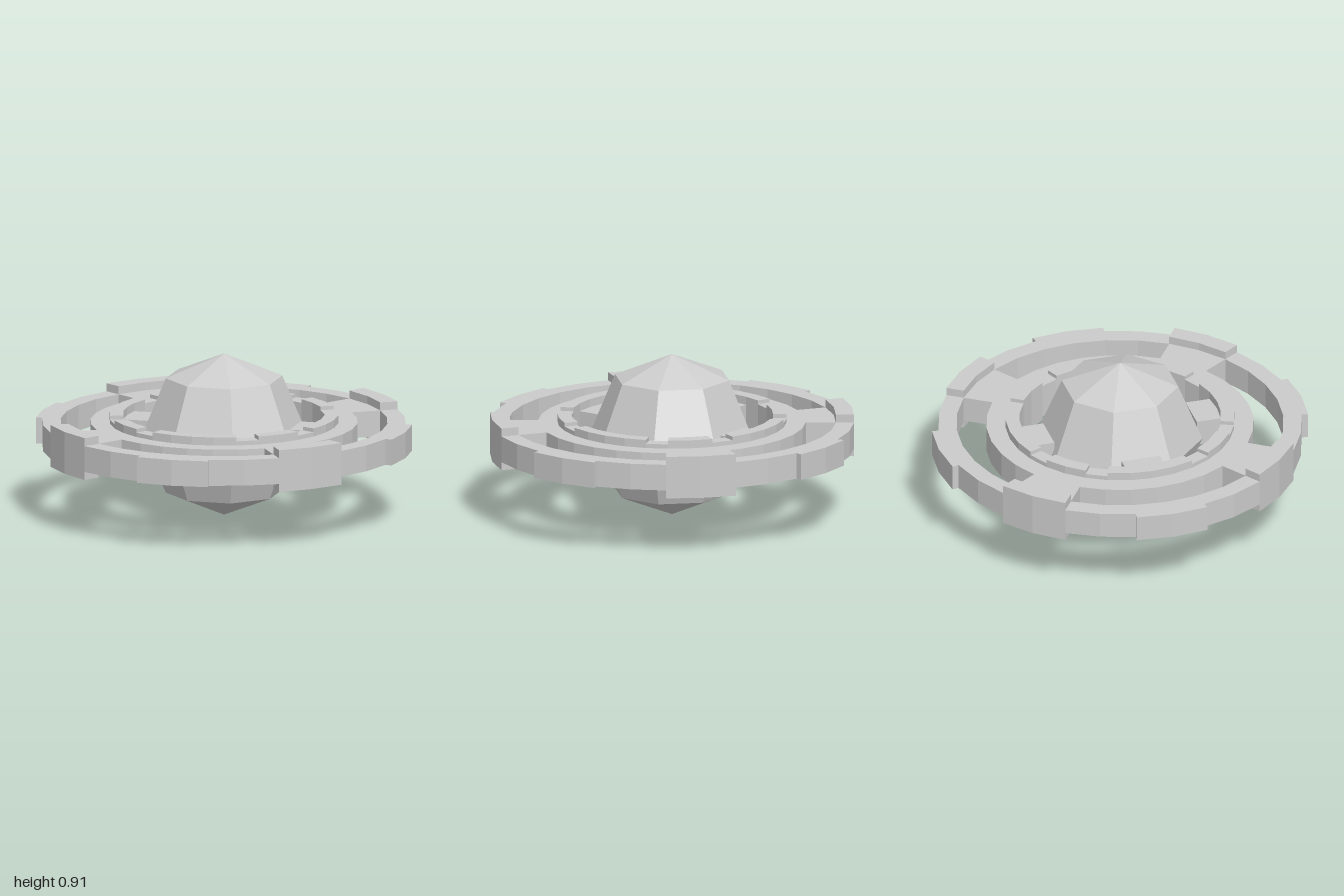
import * as THREE from 'three';

const STEP = Math.PI / 16;   // rings are 32-sided
const MID = 0.453;           // height of the mid plane
const PLATE = 0.0725;        // half thickness of the flat rings
const FLOOR = 0.0965;        // notch floor above the mid plane
const RIM = 0.1175;          // half thickness of the raised parts

const material = new THREE.MeshStandardMaterial({ color: 0xcccccc, flatShading: true });
const at = (r, step) => new THREE.Vector2(r * Math.cos(step * STEP), r * Math.sin(step * STEP));

// Arc of points from step a to step b
function arc(r, a, b) {
  const pts = [];
  for (let i = a; i <= b; i++) pts.push(at(r, i));
  return pts;
}

// Slab between two heights, measured from the mid plane
function slab(shape, y0, y1) {
  const geo = new THREE.ExtrudeGeometry(shape, { depth: y1 - y0, bevelEnabled: false });
  return geo.rotateX(-Math.PI / 2).translate(0, y0, 0);
}

function ringShape(outline, inner) {
  const shape = new THREE.Shape(outline);
  shape.holes.push(new THREE.Path(arc(inner, 0, 31).reverse()));
  return shape;
}

const sectorShape = (r0, r1, a, b) =>
  new THREE.Shape([...arc(r1, a, b), ...arc(r0, a, b).reverse()]);

export function createModel() {
  const model = new THREE.Group();
  const body = new THREE.Group();
  body.name = 'body';
  body.position.y = MID;
  model.add(body);

  const add = (name, geo) => {
    const mesh = new THREE.Mesh(geo, material);
    mesh.name = name;
    body.add(mesh);
    return mesh;
  };
  // The same slab on the top and the bottom side
  const addBothSides = (name, shape, y0, y1) => {
    add(name + 'Top', slab(shape, y0, y1));
    add(name + 'Bottom', slab(shape, -y1, -y0));
  };

  // Faceted core
  const profile = [[0, -0.453], [0.322, -0.321], [0.455, 0], [0.322, 0.321], [0, 0.453]]
    .map(([r, y]) => new THREE.Vector2(r, y));
  add('core', new THREE.LatheGeometry(profile, 8, Math.PI / 8));

  // Outer ring, stepping outwards on the diagonals
  const outline = [];
  for (let q = 0; q < 32; q += 8) {
    outline.push(...arc(1, q - 3, q + 3), ...arc(1.037, q + 3, q + 5));
  }
  add('outerRing', slab(ringShape(outline, 0.9), -PLATE, PLATE));

  // Inner ring with its raised collar
  add('innerRing', slab(ringShape(arc(0.735, 0, 31), 0.555), -PLATE, PLATE));
  addBothSides('collar', ringShape(arc(0.63, 0, 31), 0.555), PLATE, FLOOR);

  for (let q = 0; q < 32; q += 8) {
    // Spoke and raised rim block on each axis
    add('spoke', slab(sectorShape(0.735, 0.9, q - 1, q + 1), -PLATE, PLATE));
    addBothSides('rimBlock', sectorShape(0.9, 1, q - 1, q + 1), PLATE, RIM);

    // Collar teeth, leaving notches beside each axis
    addBothSides('shortTooth', sectorShape(0.555, 0.63, q - 1, q + 1), FLOOR, RIM);
    addBothSides('longTooth', sectorShape(0.555, 0.63, q + 2, q + 6), FLOOR, RIM);

    // Diagonal arm between the core and the inner ring
    const arm = new THREE.BoxGeometry(0.16, 2 * PLATE, 0.22).translate(0.487, 0, 0);
    add('coreArm', arm).rotation.y = (q + 4) * STEP;
  }
  return model;
}
